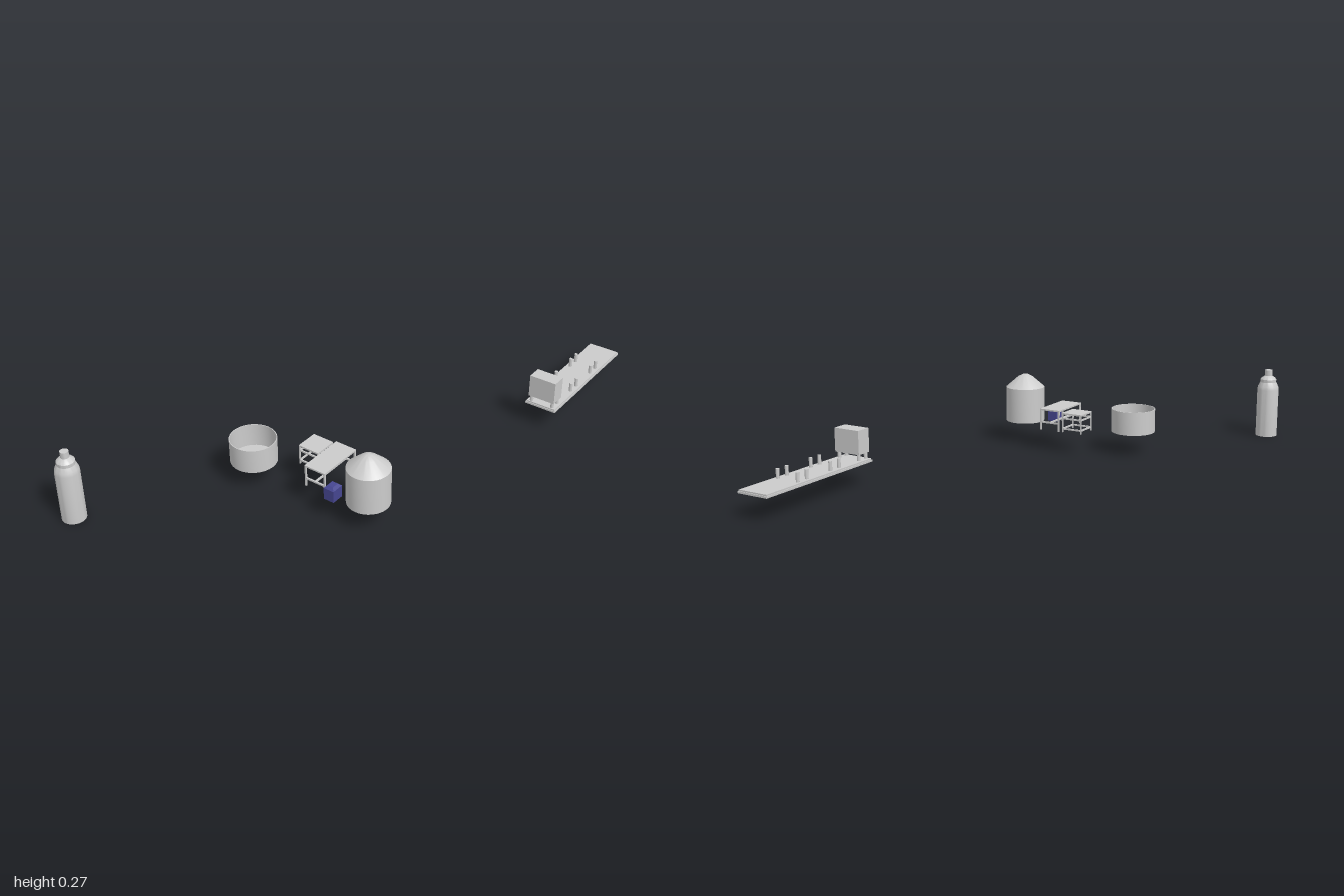
import * as THREE from 'three';
import { toCreasedNormals } from 'three/addons/utils/BufferGeometryUtils.js';

const grey = new THREE.MeshStandardMaterial({ color: 0xcccccc });
const blue = new THREE.MeshStandardMaterial({ color: 0x464690 });
const BASE = 0.083; // height on which everything but the bottle rests

function add(parent, name, geometry, x, y, z, material = grey) {
  const mesh = new THREE.Mesh(geometry, material);
  mesh.name = name;
  mesh.position.set(x, y, z);
  parent.add(mesh);
  return mesh;
}

// Box given by its lower and upper limits on each axis
function box(parent, name, [x0, x1], [y0, y1], [z0, z1], material = grey) {
  return add(parent, name, new THREE.BoxGeometry(x1 - x0, y1 - y0, z1 - z0),
    (x0 + x1) / 2, (y0 + y1) / 2, (z0 + z1) / 2, material);
}

// Turned part; profile runs from the bottom centre outwards and up
function turned(parent, name, profile, x, y, z) {
  const points = profile.map(([r, h]) => new THREE.Vector2(r, h));
  const geometry = toCreasedNormals(new THREE.LatheGeometry(points, 32), 0.4);
  return add(parent, name, geometry, x, y, z);
}

function group(parent, name) {
  const g = new THREE.Group();
  g.name = name;
  parent.add(g);
  return g;
}

// Thin-legged table; endRails join legs along z, longRails along x
function table(parent, name, [x0, x1], [z0, z1], height, leg, endRails, longRails) {
  const g = group(parent, name);
  const top = BASE + height;
  box(g, 'tableTop', [x0, x1], [top - 0.006, top], [z0, z1]);
  for (const x of [x0, x1 - leg]) {
    for (const z of [z0, z1 - leg]) box(g, 'leg', [x, x + leg], [BASE, top - 0.006], [z, z + leg]);
    for (const y of endRails) box(g, 'endRail', [x, x + leg], [y - 0.003, y + 0.003], [z0 + leg, z1 - leg]);
  }
  for (const [y, z] of longRails) {
    box(g, 'longRail', [x0 + leg, x1 - leg], [y - 0.003, y + 0.003], [z - leg / 2, z + leg / 2]);
  }
}

export function createModel() {
  const model = new THREE.Group();
  model.name = 'plantEquipment';

  // Tall bottle with stepped shoulder and neck
  turned(model, 'bottle', [[0, 0], [0.043, 0], [0.043, 0.194], [0.041, 0.206], [0.032, 0.224],
    [0.032, 0.236], [0.027, 0.242], [0.015, 0.25], [0.015, 0.274], [0, 0.274]], -0.957, 0, -0.512);

  // Open round tub
  turned(model, 'tub', [[0, 0], [0.085, 0], [0.085, 0.091], [0.082, 0.091], [0.082, 0.004], [0, 0.004]],
    -0.422, BASE, -0.159);

  // Closed silo with conical roof and rounded cap
  turned(model, 'silo', [[0, 0], [0.077, 0], [0.077, 0.138], [0.03, 0.179], [0.011, 0.189], [0, 0.191]],
    -0.38, BASE, 0.309);

  // Small blue cabinet with a hipped lid
  const cabinet = group(model, 'cabinet');
  box(cabinet, 'cabinetBody', [-0.46, -0.412], [BASE, 0.128], [0.181, 0.222], blue);
  const lid = new THREE.CylinderGeometry(0.4, Math.SQRT1_2, 1, 4, 1).rotateY(Math.PI / 4);
  lid.scale(0.048, 0.01, 0.041);
  add(cabinet, 'cabinetLid', toCreasedNormals(lid, 0.3), -0.436, 0.133, 0.2015, blue);

  // Two work tables
  table(model, 'longTable', [-0.438, -0.26], [0.083, 0.169], 0.084, 0.006, [0.114], [[0.114, 0.126]]);
  table(model, 'smallTable', [-0.348, -0.262], [-0.014, 0.071], 0.077, 0.005, [0.138, 0.097],
    [0.138, 0.097].flatMap((y) => [[y, -0.0115], [y, 0.0685]]));

  // Long platform with posts and a raised box at one end
  const platform = group(model, 'platform');
  box(platform, 'platformBase', [0.465, 1], [BASE, 0.09], [0.43, 0.555]);
  box(platform, 'platformDeck', [0.468, 0.997], [0.09, 0.095], [0.433, 0.552]);
  const post = new THREE.CylinderGeometry(0.0065, 0.0065, 0.035, 12);
  for (const z of [0.449, 0.536]) {
    for (const x of [0.623, 0.668, 0.788, 0.832]) add(platform, 'post', post, x, 0.1115, z);
    for (const x of [0.478, 0.516]) add(platform, 'boxLeg', post, x, 0.1115, z);
  }
  box(platform, 'raisedBox', [0.468, 0.526], [0.118, 0.205], [0.44, 0.546]);

  return model;
}
